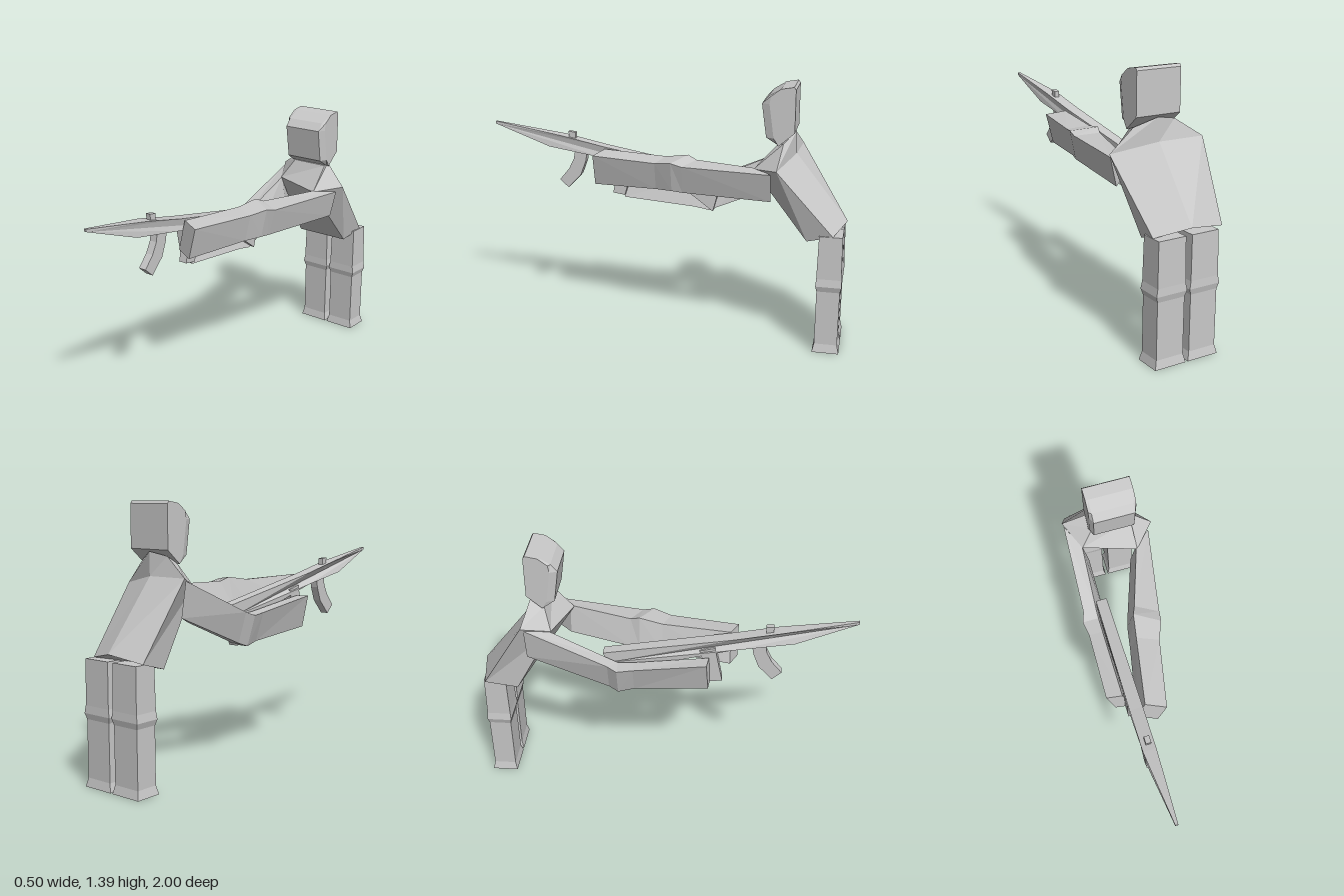
import * as THREE from 'three';

const clay = new THREE.MeshStandardMaterial({ color: 0xc8c8c8 });
clay.name = 'clayGrey';

// Closed faceted solid through matching rings of [x, y, z] corners
function loft(name, rings) {
  const tris = [];
  const n = rings[0].length;
  for (let r = 0; r < rings.length - 1; r++) {
    for (let i = 0; i < n; i++) {
      const j = (i + 1) % n;
      const a = rings[r][i], b = rings[r][j], c = rings[r + 1][j], d = rings[r + 1][i];
      tris.push([a, b, c], [a, c, d]);
    }
  }
  const first = rings[0], last = rings[rings.length - 1];
  for (let i = 1; i < n - 1; i++) {
    tris.push([first[0], first[i + 1], first[i]], [last[0], last[i], last[i + 1]]);
  }
  // Turn every face outwards if the rings ran the other way round
  let volume = 0;
  const [A, B, C] = [new THREE.Vector3(), new THREE.Vector3(), new THREE.Vector3()];
  for (const [a, b, c] of tris) {
    volume += A.fromArray(a).dot(B.fromArray(b).cross(C.fromArray(c)));
  }
  if (volume < 0) tris.forEach(t => t.reverse());
  const geometry = new THREE.BufferGeometry();
  geometry.setAttribute('position', new THREE.Float32BufferAttribute(tris.flat(2), 3));
  geometry.computeVertexNormals();
  const mesh = new THREE.Mesh(geometry, clay);
  mesh.name = name;
  return mesh;
}

// Side profile of [z, y] points, extruded across x to a given width
function plate(name, points, width, centreX) {
  const shape = new THREE.Shape(points.map(([z, y]) => new THREE.Vector2(-z, y)));
  const geometry = new THREE.ExtrudeGeometry(shape, { depth: width, bevelEnabled: false });
  geometry.translate(0, 0, -width / 2).rotateY(Math.PI / 2);
  const mesh = new THREE.Mesh(geometry, clay);
  mesh.name = name;
  mesh.position.x = centreX;
  return mesh;
}

// Straight leg with a knee ridge and a flared foot
function leg(name, x) {
  const levels = [[0, 0.088, 0.07], [0.045, 0.077, 0.06], [0.34, 0.077, 0.06],
    [0.37, 0.087, 0.067], [0.41, 0.08, 0.064], [0.64, 0.077, 0.06]];
  return loft(name, levels.map(([y, w, d]) => [
    [x - w, y, -0.925 - d], [x + w, y, -0.925 - d],
    [x + w, y, -0.925 + d], [x - w, y, -0.925 + d]]));
}

// Arm section: two top corners, the bottom ones shifted sideways and down
const section = (outer, inner, dx, dy, dz = 0) => [
  outer, inner,
  [inner[0] + dx, inner[1] - dy, inner[2] + dz],
  [outer[0] + dx, outer[1] - dy, outer[2] + dz]];

export function createModel() {
  const model = new THREE.Group();
  model.name = 'aimingFigure';

  model.add(leg('rightLeg', -0.068), leg('leftLeg', 0.122));

  // Forward-leaning torso: hips, shoulders, neck
  model.add(loft('torso', [
    [[-0.145, 0.6, -0.8], [0.17, 0.6, -0.8], [0.197, 0.64, -0.935], [0.024, 0.68, -1], [-0.177, 0.65, -0.97]],
    [[-0.15, 0.98, -0.59], [0.135, 0.96, -0.51], [0.25, 0.98, -0.64], [0.02, 1.03, -0.72], [-0.225, 1.033, -0.735]],
    [[-0.08, 1.09, -0.63], [0.13, 1.09, -0.625], [0.13, 1.1, -0.66], [0.025, 1.15, -0.715], [-0.08, 1.13, -0.7]],
  ]));

  // Head with a sloped brow and narrow chamfers beside the face
  const headSection = (x, face) => {
    const z = face ? 0.04 : 0;
    return [[1.09, -0.635], [1.13, -0.61 + z], [1.305, -0.584 + z], [1.345, -0.59 + z * 0.3],
      [1.383, -0.64], [1.394, -0.705], [1.38, -0.715], [1.16, -0.716]].map(([y, d]) => [x, y, d]);
  };
  model.add(loft('head', [headSection(-0.1, false), headSection(-0.085, true),
    headSection(0.135, true), headSection(0.152, false)]));

  // Left arm reaches across to the front of the rifle
  model.add(loft('leftArm', [
    section([0.225, 0.955, -0.61], [0.135, 0.965, -0.53], -0.035, 0.15),
    section([0.145, 0.95, -0.13], [0.025, 0.965, -0.19], -0.04, 0.15),
    section([0.137, 0.965, -0.07], [0.005, 0.985, -0.14], -0.035, 0.16),
    section([0.1, 0.95, 0.025], [-0.015, 0.965, -0.015], -0.035, 0.15),
    section([0.03, 0.955, 0.39], [-0.075, 0.972, 0.35], -0.045, 0.17),
  ]));

  // Right arm drops to the elbow, then runs forward to the grip
  model.add(loft('rightArm', [
    section([-0.218, 1.02, -0.72], [-0.15, 0.98, -0.6], 0.03, 0.18),
    section([-0.235, 0.83, -0.29], [-0.165, 0.83, -0.28], 0.05, 0.165),
    section([-0.253, 0.81, -0.24], [-0.165, 0.81, -0.24], 0.05, 0.165),
    section([-0.24, 0.815, -0.155], [-0.165, 0.815, -0.155], 0.05, 0.155),
    section([-0.25, 0.87, 0.23], [-0.165, 0.865, 0.24], 0.045, 0.175, 0.01),
  ]));

  // Rifle body: long tapered barrel and triangular stock
  const rifle = new THREE.Group();
  rifle.name = 'rifle';
  const body = plate('rifleBody', [[1, 1.094], [0.6, 1.03], [0.36, 0.98], [-0.32, 0.86],
    [-0.3, 0.8], [-0.26, 0.645], [-0.05, 0.8], [0.36, 0.915], [0.68, 0.965], [1, 1.08]], 0.07, -0.125);
  const p = body.geometry.attributes.position;
  for (let i = 0; i < p.count; i++) {
    const t = Math.max(0, (p.getZ(i) - 0.6) / 0.4);
    const back = p.getZ(i) < 0 ? 0.85 : 1;
    p.setX(i, p.getX(i) * back * (1 - 0.78 * t) + 0.015 * t);
  }
  body.geometry.computeVertexNormals();
  rifle.add(body);
  rifle.add(plate('frontSight', [[0.57, 1.055], [0.53, 1.05], [0.53, 0.99], [0.565, 0.99]], 0.028, -0.122));
  rifle.add(plate('curvedMagazine', [[0.53, 0.96], [0.46, 0.95], [0.47, 0.89], [0.5, 0.81],
    [0.575, 0.73], [0.625, 0.775], [0.57, 0.84], [0.54, 0.9]], 0.045, -0.122));
  rifle.add(plate('pistolGrip', [[0.27, 0.92], [0.19, 0.9], [0.245, 0.705], [0.313, 0.715]], 0.05, -0.13));
  model.add(rifle);

  return model;
}
